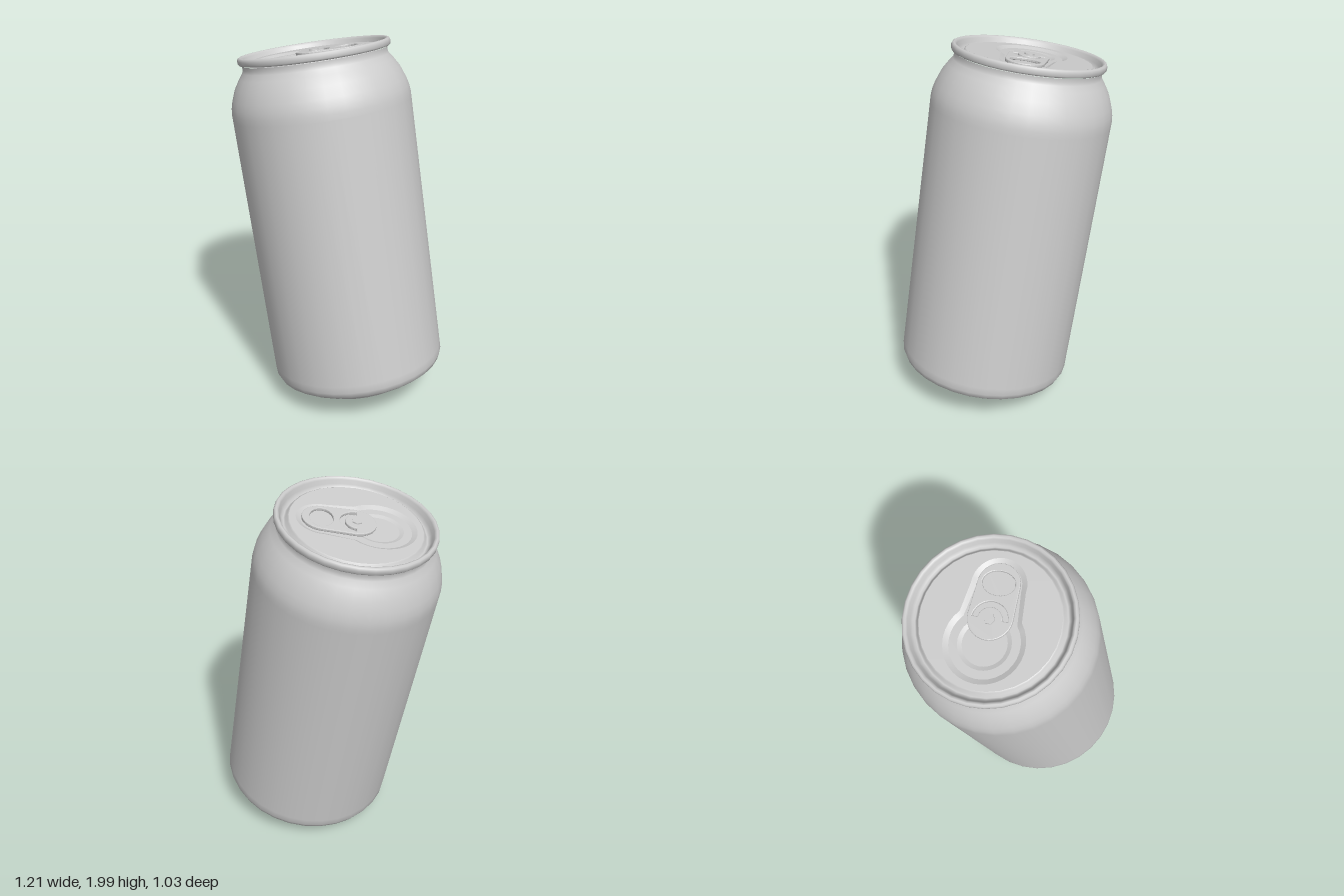
import * as THREE from 'three';

const SIDES = 32;
const PANEL = 1.864, FLOOR = 1.852, DISH = 1.845;
const V = (x, y) => new THREE.Vector2(x, y);

// points on an arc, angles in degrees
function arc(cx, r, from, to, n, ry = r) {
  return Array.from({ length: n + 1 }, (_, i) => {
    const a = THREE.MathUtils.degToRad(from + ((to - from) * i) / n);
    return V(cx + r * Math.cos(a), ry * Math.sin(a));
  });
}
const circle = (cx, r, n, ry = r) => arc(cx, r, 0, 360, n, ry).slice(0, n);

// keyhole outline around the mouth and the tab, shrunk by d
const keyhole = (d) => [
  ...arc(0.165, 0.13 - d, -95, 95, 16),
  ...arc(-0.108, 0.19 - d, 50, 310, 24),
];

// flat face with holes, lying at height y
function plate(outline, holes, y) {
  const shape = new THREE.Shape(outline);
  for (const h of holes) shape.holes.push(new THREE.Path(h));
  return new THREE.ShapeGeometry(shape).rotateX(-Math.PI / 2).translate(0, y, 0);
}

// sloping wall from an outer loop down to an inner loop
function wall(outer, yOuter, inner, yInner) {
  const n = outer.length, pos = [], index = [];
  for (const p of outer) pos.push(p.x, yOuter, -p.y);
  for (const p of inner) pos.push(p.x, yInner, -p.y);
  for (let i = 0; i < n; i++) {
    const j = (i + 1) % n;
    index.push(i, j, n + j, i, n + j, n + i);
  }
  const g = new THREE.BufferGeometry();
  g.setAttribute('position', new THREE.Float32BufferAttribute(pos, 3));
  g.setIndex(index);
  g.computeVertexNormals();
  return g;
}

export function createModel() {
  const metal = new THREE.MeshStandardMaterial({ color: 0xcccccc });
  metal.name = 'bare metal';

  const add = (parent, name, geometry) => {
    const mesh = new THREE.Mesh(geometry, metal);
    mesh.name = name;
    parent.add(mesh);
    return mesh;
  };
  const lathe = (points) =>
    new THREE.LatheGeometry(points.map(([r, y]) => V(r, y)), SIDES);

  const can = new THREE.Group();
  can.name = 'can';

  // domed base and standing ring
  add(can, 'base', lathe([
    [0, 0.12], [0.1, 0.111], [0.19, 0.085], [0.25, 0.05], [0.28, 0.015],
    [0.29, 0.002], [0.302, -0.004], [0.316, 0.002], [0.332, 0.026], [0.36, 0.043],
  ]));

  // side wall, shoulder and neck
  add(can, 'body', lathe([
    [0.36, 0.043], [0.4, 0.058], [0.437, 0.072], [0.464, 0.091], [0.478, 0.122],
    [0.478, 0.16], [0.478, 1.57], [0.478, 1.6], [0.474, 1.635], [0.463, 1.675],
    [0.44, 1.733], [0.41, 1.78], [0.388, 1.81], [0.383, 1.828], [0.385, 1.845],
  ]));

  // rolled rim with the countersink groove inside it
  add(can, 'rim', lathe([
    [0.383, 1.848], [0.396, 1.85], [0.403, 1.858], [0.404, 1.875], [0.4, 1.886],
    [0.392, 1.89], [0.383, 1.888], [0.377, 1.878], [0.37, 1.858], [0.362, 1.843],
    [0.352, 1.839], [0.343, 1.843], [0.335, 1.86], [0.328, PANEL],
  ]));

  // lid, turned so that the tab points along its own x
  const lid = new THREE.Group();
  lid.name = 'lid';
  lid.rotation.y = Math.PI / 8;
  can.add(lid);

  const mouth = circle(-0.108, 0.125, 28);
  const mouthInner = circle(-0.108, 0.105, 28);
  add(lid, 'lidPanel', plate(circle(0, 0.328, SIDES), [keyhole(0)], PANEL));
  add(lid, 'recessWall', wall(keyhole(0), PANEL, keyhole(0.025), FLOOR));
  add(lid, 'recessFloor', plate(keyhole(0.025), [mouth], FLOOR));
  add(lid, 'mouthWall', wall(mouth, FLOOR, mouthInner, DISH));
  add(lid, 'mouthPanel', plate(mouthInner, [], DISH));

  // pull tab with a finger hole and a curved slot around the rivet
  const tabShape = new THREE.Shape([
    ...arc(0.168, 0.1, -86, 86, 14),
    ...arc(0.01, 0.106, 90, 270, 16),
  ]);
  tabShape.holes.push(
    new THREE.Path(circle(0.172, 0.058, 20, 0.078)),
    new THREE.Path([...arc(0, 0.084, -88, 88, 12), ...arc(0, 0.058, 88, -88, 12)]),
  );
  const tab = new THREE.ExtrudeGeometry(tabShape, {
    depth: 0.008, bevelEnabled: true, bevelThickness: 0.004,
    bevelSize: 0.004, bevelOffset: -0.004, bevelSegments: 2,
  });
  add(lid, 'tab', tab.rotateX(-Math.PI / 2).translate(0, 1.862, 0));

  // rivet
  add(lid, 'rivet', new THREE.CylinderGeometry(0.026, 0.032, 0.03, 6))
    .position.set(0, 1.865, 0);

  // lean the whole can on the edge of its base
  const axis = new THREE.Vector3(-0.186, 1, -0.05).normalize();
  can.quaternion.setFromUnitVectors(new THREE.Vector3(0, 1, 0), axis);
  can.position.set(0.153, 0.066, 0.037);

  const model = new THREE.Group();
  model.name = 'leaningCan';
  model.add(can);
  return model;
}
